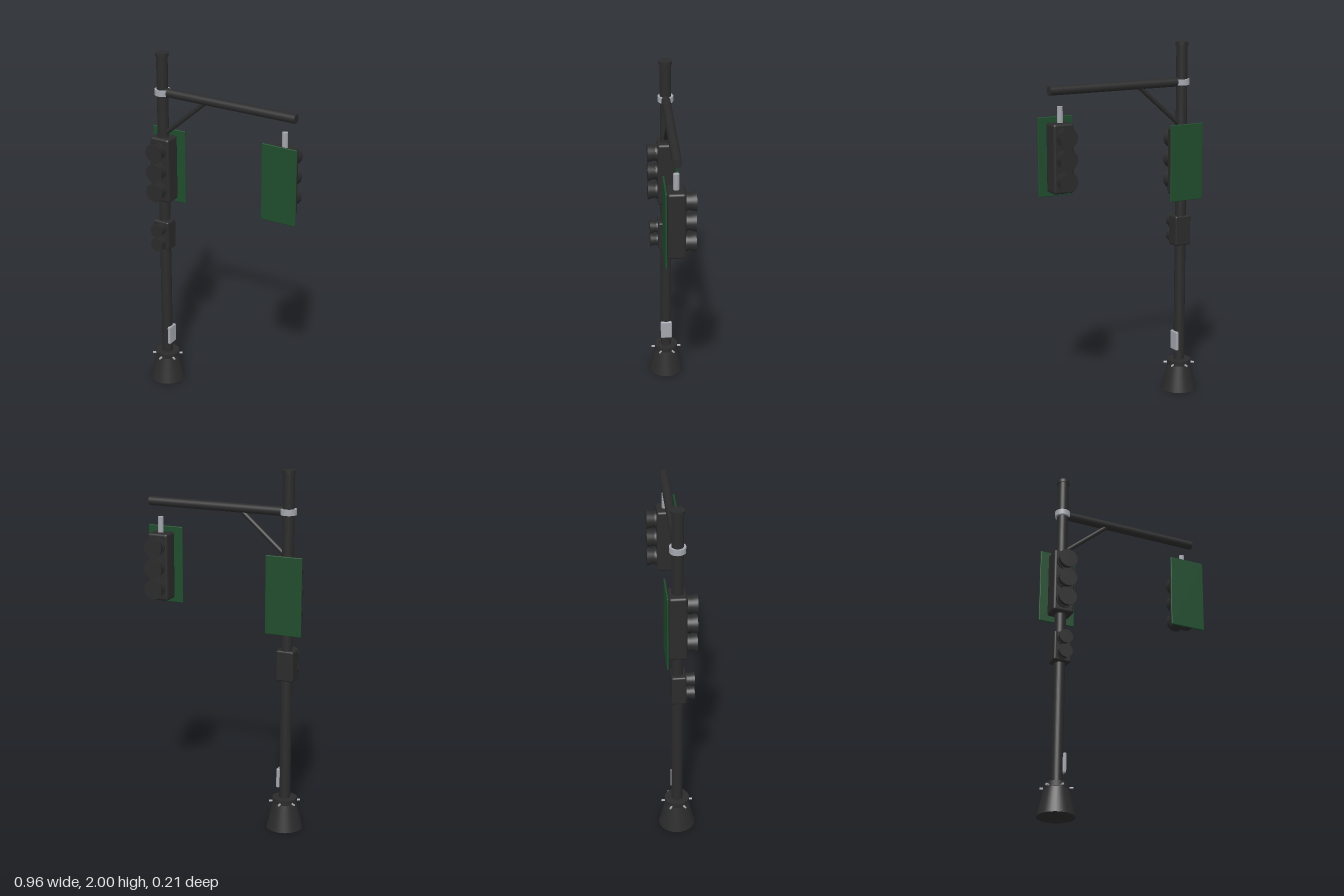
import * as THREE from 'three';
import { RoundedBoxGeometry } from 'three/addons/geometries/RoundedBoxGeometry.js';

const material = (name, color) => {
  const m = new THREE.MeshStandardMaterial({ color });
  m.name = name;
  return m;
};

export function createModel() {
  const dark = material('charcoal metal', 0x2b2b2b);
  const green = material('dark green', 0x1f4c2d);
  const steel = material('light steel', 0xa3a6ad);
  const X = 0.377; // distance of pole and hanging signal from the middle

  const model = new THREE.Group();
  model.name = 'trafficSignalPole';

  const add = (parent, name, geometry, mat, x = 0, y = 0, z = 0) => {
    const mesh = new THREE.Mesh(geometry, mat);
    mesh.name = name;
    mesh.position.set(x, y, z);
    parent.add(mesh);
    return mesh;
  };
  const box = (w, h, d, r) => new RoundedBoxGeometry(w, h, d, 3, r);
  // straight round bar between two points
  const bar = (parent, name, a, b, radius, mat, sides = 24) => {
    const dir = b.clone().sub(a);
    const mid = a.clone().add(b).multiplyScalar(0.5);
    const mesh = add(parent, name, new THREE.CylinderGeometry(radius, radius, dir.length(), sides), mat, mid.x, mid.y, mid.z);
    mesh.quaternion.setFromUnitVectors(new THREE.Vector3(0, 1, 0), dir.normalize());
    return mesh;
  };
  const v = (x, y, z = 0) => new THREE.Vector3(x, y, z);

  // flared lamp hood pointing along +z, with a seating ring
  const addLamp = (parent, y, z, r, length) => {
    const ring = add(parent, 'lampRing', new THREE.CylinderGeometry(r * 0.9, r * 0.9, 0.02, 32), dark, 0, y, z);
    const hood = add(parent, 'lampHood', new THREE.CylinderGeometry(r, r * 0.76, length, 32), dark, 0, y, z + length / 2);
    ring.rotation.x = hood.rotation.x = Math.PI / 2;
  };

  // three-lamp signal head with backplate, facing +z
  const makeSignal = (name) => {
    const signal = new THREE.Group();
    signal.name = name;
    add(signal, 'housing', box(0.122, 0.375, 0.096, 0.014), dark);
    add(signal, 'backplate', box(0.207, 0.43, 0.01, 0.004), green, 0, 0, -0.058);
    add(signal, 'plateMount', new THREE.BoxGeometry(0.06, 0.2, 0.02), dark, 0, 0, -0.046);
    for (const y of [0.117, 0, -0.117]) addLamp(signal, y, 0.05, 0.053, 0.053);
    model.add(signal);
    return signal;
  };

  // pole and cap
  const pole = new THREE.Group();
  pole.name = 'pole';
  pole.position.x = -X;
  model.add(pole);
  add(pole, 'shaft', new THREE.CylinderGeometry(0.031, 0.031, 1.83, 32), dark, 0, 1.075);
  add(pole, 'cap', new THREE.CylinderGeometry(0.036, 0.036, 0.02, 32), dark, 0, 1.99);
  add(pole, 'armClamp', new THREE.CylinderGeometry(0.043, 0.043, 0.032, 32), steel, 0, 1.78);

  // flared base with collar and six bolts
  add(pole, 'base', new THREE.CylinderGeometry(0.064, 0.101, 0.155, 32), dark, 0, 0.0775);
  add(pole, 'baseCollar', new THREE.CylinderGeometry(0.068, 0.068, 0.028, 32), dark, 0, 0.163);
  for (let i = 0; i < 6; i++) {
    const a = Math.PI / 6 + (i * Math.PI) / 3;
    const c = Math.cos(a), s = Math.sin(a);
    bar(pole, 'baseBolt', v(c * 0.06, 0.155, s * 0.06), v(c * 0.087, 0.155, s * 0.087), 0.006, steel, 8);
  }

  // access cover low on the pole
  add(pole, 'accessCover', box(0.018, 0.11, 0.066, 0.005), steel, 0.031, 0.292);

  // mast arm and diagonal brace
  bar(model, 'mastArm', v(-X + 0.02, 1.78), v(0.44, 1.78), 0.025, dark);
  bar(model, 'brace', v(-X + 0.015, 1.545), v(-0.105, 1.768), 0.013, dark, 16);

  // pole signal faces forward, arm signal faces back
  makeSignal('poleSignal').position.set(-X, 1.337, 0);
  const armSignal = makeSignal('armSignal');
  armSignal.position.set(X, 1.421, 0);
  armSignal.rotation.y = Math.PI;
  add(model, 'hanger', new THREE.CylinderGeometry(0.016, 0.016, 0.105, 8), steel, X, 1.643);

  // small two-lamp pedestrian signal
  const walk = new THREE.Group();
  walk.name = 'pedestrianSignal';
  walk.position.set(-X, 0.942, 0);
  model.add(walk);
  add(walk, 'housing', box(0.1, 0.172, 0.08, 0.01), dark, 0, 0, 0.006);
  for (const y of [0.042, -0.042]) addLamp(walk, y, 0.046, 0.039, 0.045);

  return model;
}
